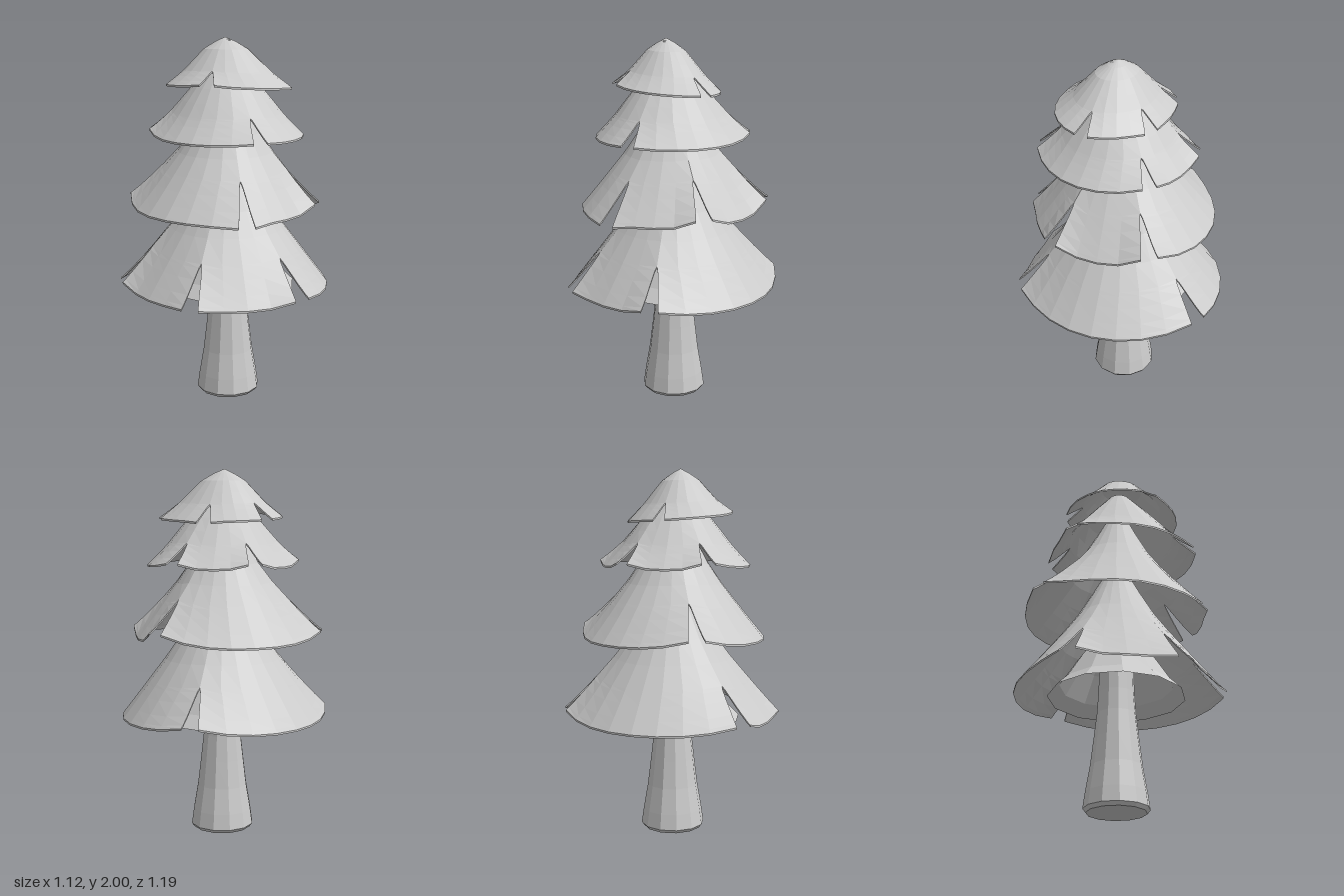
import * as THREE from 'three';

const material = new THREE.MeshStandardMaterial({ color: 0xcccccc, flatShading: true, side: THREE.DoubleSide });

// One thick, curved flap of foliage between two notches, each [angle in degrees from +x towards +z, rim lift].
function flapGeometry(tier, [from, liftFrom], [to, liftTo]) {
  const { profile, center, scaleZ = 1, tilt = 0, flare, gap, split } = tier;
  const thickness = 0.01;
  const curve = new THREE.SplineCurve(profile.map(([r, y]) => new THREE.Vector2(r, y)));
  // Rows: smooth cone above the notch peak, then denser rows as the notch opens
  const steps = [0, 0.25, 0.5, 0.75, 1].map((t) => t * split);
  for (const t of [0.08, 0.3, 0.6, 0.85, 1]) steps.push(split + t * (1 - split));
  const rows = steps.length - 1;
  const cols = Math.max(4, Math.round((to - from) / 16));
  const positions = [];
  const index = [];

  const addRow = (v, drop) => {
    const p = curve.getPoint(v);
    const open = gap * Math.pow(Math.max(0, (v - split) / (1 - split)), 0.6);
    for (let i = 0; i <= cols; i++) {
      const u = i / cols;
      const a = THREE.MathUtils.degToRad(THREE.MathUtils.lerp(from + open, to - open, u));
      const corner = Math.pow(Math.abs(2 * u - 1), 3) * v;
      const lift = (u < 0.5 ? liftFrom : liftTo) * corner * v;
      const r = p.x * (1 + flare * corner);
      const z = r * Math.sin(a) * scaleZ;
      positions.push(center[0] * v + r * Math.cos(a), p.y + lift + tilt * z * v - drop, center[1] + z);
    }
  };
  // Outer sheet down to the rim, then the inner sheet back up
  for (const v of steps) addRow(v, 0);
  for (const v of [...steps].reverse()) addRow(v, thickness);

  const id = (k, i) => k * (cols + 1) + i;
  const last = 2 * rows + 1;
  for (let k = 0; k < last; k++)
    for (let i = 0; i < cols; i++)
      index.push(id(k, i), id(k, i + 1), id(k + 1, i), id(k, i + 1), id(k + 1, i + 1), id(k + 1, i));
  // Close the two cut sides
  for (let k = 0; k < rows; k++) {
    const quad = (i) => [id(k, i), id(k + 1, i), id(last - k, i), id(k + 1, i), id(last - k - 1, i), id(last - k, i)];
    index.push(...quad(0), ...quad(cols).reverse());
  }

  const g = new THREE.BufferGeometry();
  g.setAttribute('position', new THREE.Float32BufferAttribute(positions, 3));
  g.setIndex(index);
  g.computeVertexNormals();
  return g;
}

function lathe(name, points, sides) {
  const g = new THREE.LatheGeometry(points.map(([r, y]) => new THREE.Vector2(r, y)), sides);
  const mesh = new THREE.Mesh(g, material);
  mesh.name = name;
  return mesh;
}

// Foliage tiers from bottom to top
const tiers = [
  {
    name: 'bottomTier', center: [0, 0],
    notches: [[30.5, 0.03], [90, 0.01], [149.5, 0.035], [270, 0.045]],
    profile: [[0.08, 1.36], [0.23, 1.09], [0.405, 0.85], [0.555, 0.652]],
    flare: 0.075, gap: 4.4, split: 0.66,
  },
  {
    name: 'lowerMiddleTier', center: [-0.02, 0.008],
    notches: [[0, 0.045], [58, -0.01], [175, 0.045], [298.5, 0.06]],
    profile: [[0.07, 1.72], [0.2, 1.47], [0.36, 1.255], [0.492, 1.09]],
    flare: 0.075, gap: 4.8, split: 0.61,
  },
  {
    name: 'upperMiddleTier', center: [0.015, 0.025],
    notches: [[49, 0.01], [165, 0.03], [229.5, 0.025], [290.5, 0.025]],
    profile: [[0.06, 1.88], [0.19, 1.73], [0.305, 1.585], [0.402, 1.482]],
    flare: 0.065, gap: 5.2, split: 0.63,
  },
  {
    name: 'topTier', center: [0.015, 0.043],
    notches: [[-21, 0], [92.5, 0.01], [212, 0], [273, -0.005]],
    profile: [[0.002, 1.997], [0.115, 1.94], [0.225, 1.83], [0.335, 1.742]],
    scaleZ: 0.83, tilt: 0.07, flare: 0.03, gap: 6.8, split: 0.7,
  },
];

export function createModel() {
  const tree = new THREE.Group();
  tree.name = 'pineTree';

  // Flared trunk
  tree.add(lathe('trunk', [
    [0, 0], [0.16, 0.005], [0.176, 0.025], [0.164, 0.11], [0.14, 0.25],
    [0.122, 0.4], [0.106, 0.54], [0.098, 0.66], [0.09, 0.95],
  ], 12));

  // Inner skirt beneath the bottom flaps
  tree.add(lathe('innerSkirt', [[0.375, 0.635], [0.31, 0.7], [0.22, 0.84], [0.09, 1.02]], 12));

  for (const tier of tiers) {
    const group = new THREE.Group();
    group.name = tier.name;
    const [first] = tier.notches;
    tier.notches.forEach((notch, i) => {
      const next = tier.notches[i + 1] ?? [first[0] + 360, first[1]];
      const flap = new THREE.Mesh(flapGeometry(tier, notch, next), material);
      flap.name = `flap${i + 1}`;
      group.add(flap);
    });
    tree.add(group);
  }

  // Small bud at the crown
  const bud = new THREE.Mesh(new THREE.SphereGeometry(0.018, 8, 5), material);
  bud.name = 'crownBud';
  bud.scale.y = 0.6;
  bud.position.set(0.02, 1.978, 0.055);
  tree.add(bud);

  return tree;
}
